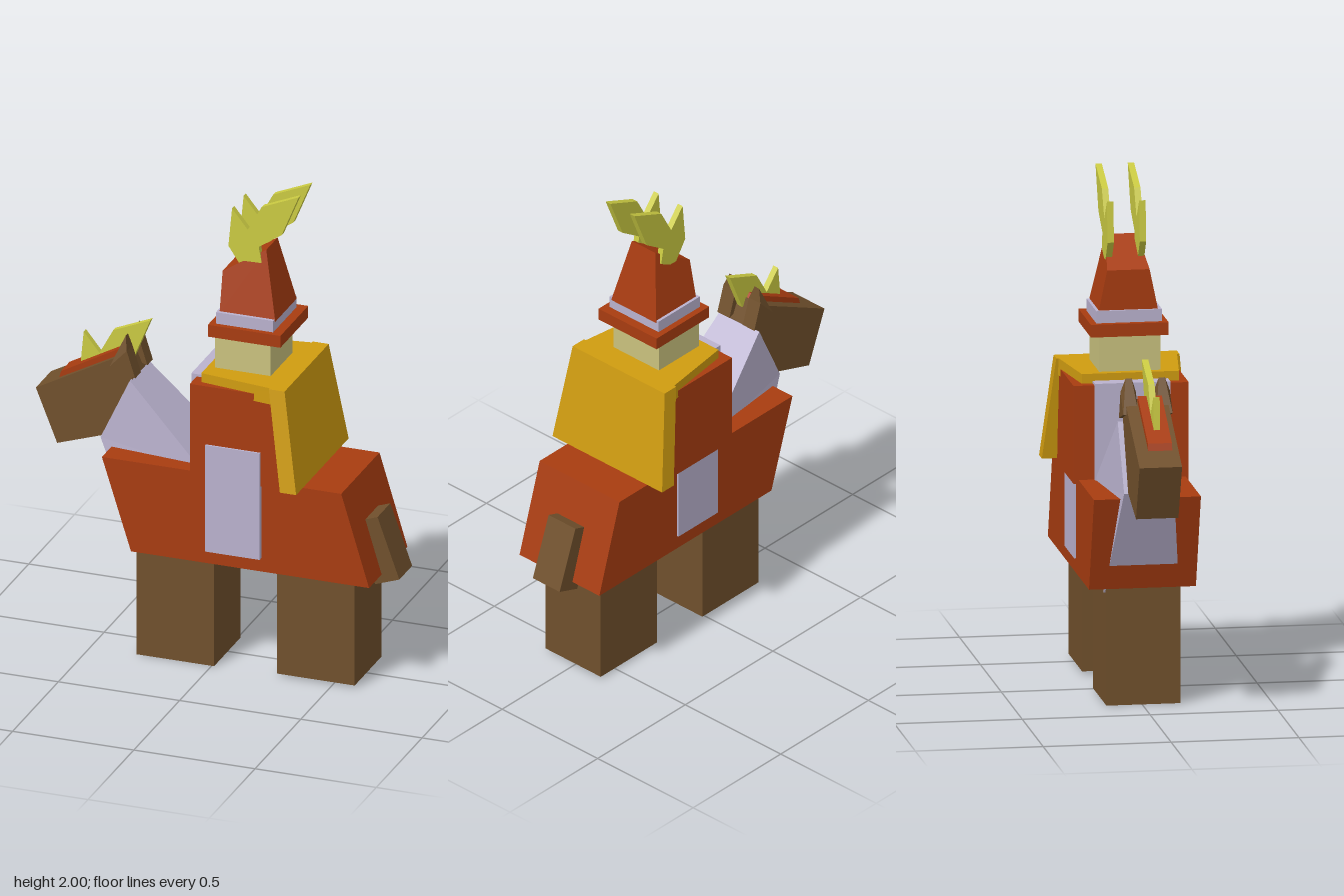
import * as THREE from 'three';

const mat = (name, color, side = THREE.FrontSide) => {
  const m = new THREE.MeshStandardMaterial({ color, side });
  m.name = name;
  return m;
};

// Flat-sided block: points [x, y, zBack, zFront] run counter-clockwise seen from +z.
// The side face starting at point "openEdge" is left out.
function block(points, openEdge = -1) {
  const front = points.map(([x, y, , z]) => [x, y, z]);
  const back = points.map(([x, y, z]) => [x, y, z]);
  const out = [];
  const n = points.length;
  for (let i = 1; i < n - 1; i++) {
    out.push(...front[0], ...front[i], ...front[i + 1]);
    out.push(...back[0], ...back[i + 1], ...back[i]);
  }
  for (let i = 0; i < n; i++) {
    if (i === openEdge) continue;
    const j = (i + 1) % n;
    out.push(...front[i], ...back[i], ...back[j]);
    out.push(...front[i], ...back[j], ...front[j]);
  }
  const g = new THREE.BufferGeometry();
  g.setAttribute('position', new THREE.Float32BufferAttribute(out, 3));
  g.computeVertexNormals();
  return g;
}

// Block with the same depth all along its outline
const slab = (pts, z0, z1, openEdge) => block(pts.map(([x, y]) => [x, y, z0, z1]), openEdge);
// Block with its own half depth at each point
const taper = (pts) => block(pts.map(([x, y, h]) => [x, y, -h, h]));
// Upright box from its limits
const box = (x0, x1, y0, y1, z0, z1, openEdge) =>
  slab([[x0, y0], [x1, y0], [x1, y1], [x0, y1]], z0, z1, openEdge);

function plume() {
  const pts = [[0.10, 1.66], [0.14, 1.68], [0.177, 1.70], [0.165, 1.765], [0.26, 1.83],
    [0.33, 2.0], [0.177, 1.935], [0.12, 1.83], [0.055, 1.91], [0.04, 1.75]];
  const shape = new THREE.Shape(pts.map(([x, y]) => new THREE.Vector2(x, y)));
  return new THREE.ExtrudeGeometry(shape, { depth: 0.025, bevelEnabled: false });
}

export function createModel() {
  const red = mat('rust red', 0xa83c10);
  const brown = mat('brown', 0x70502c);
  const legBrown = brown;
  legBrown.side = THREE.DoubleSide;
  const gold = mat('gold', 0xd09c10);
  const lavender = mat('lavender', 0xbab2ce);
  const tan = mat('tan skin', 0xcac27e);
  const green = mat('yellow green', 0xcaca42);

  const model = new THREE.Group();
  model.name = 'mountedRider';
  const horse = new THREE.Group();
  horse.name = 'horse';
  const rider = new THREE.Group();
  rider.name = 'rider';
  model.add(horse, rider);
  const add = (group, name, geometry, material) => {
    const mesh = new THREE.Mesh(geometry, material);
    mesh.name = name;
    group.add(mesh);
    return mesh;
  };

  // Horse: hollow legs, open underneath
  add(horse, 'frontLeg', box(-0.31, 0.01, 0, 0.47, -0.14, 0.15, 0), legBrown);
  add(horse, 'hindLeg', box(0.27, 0.59, 0.01, 0.47, -0.14, 0.15, 0), legBrown);

  // Horse: draped body and tail
  add(horse, 'body', slab([[-0.31, 0.46], [0.672, 0.46], [0.557, 0.84], [-0.43, 0.84]], -0.208, 0.21), red);
  add(horse, 'tail', slab([[0.645, 0.415], [0.745, 0.45], [0.655, 0.7], [0.555, 0.665]], -0.067, 0.073), brown);

  // Horse: neck and head
  add(horse, 'neck', taper([[-0.478, 0.87, 0.098], [-0.29, 0.442, 0.147], [-0.04, 0.815, 0.147], [-0.355, 1.13, 0.103]]), lavender);
  add(horse, 'head', slab([[-0.75, 1.03], [-0.662, 0.81], [-0.475, 0.873], [-0.35, 1.13], [-0.39, 1.225]], -0.082, 0.084), brown);
  add(horse, 'browPlate', slab([[-0.665, 1.07], [-0.39, 1.215], [-0.41, 1.24], [-0.655, 1.105]], -0.034, 0.06), red);

  // Horse: pointed ears
  for (const s of [-1, 1]) {
    const lo = s < 0 ? -0.095 : 0.035;
    const hi = s < 0 ? -0.035 : 0.098;
    const mid = s * 0.065;
    add(horse, s > 0 ? 'frontEar' : 'backEar', block([
      [-0.44, 1.175, lo, hi], [-0.335, 1.14, lo, hi],
      [-0.37, 1.25, lo, hi], [-0.382, 1.305, mid - 0.012, mid + 0.012],
    ]), brown);
  }

  // Plumes: one on the horse's head, two on the hat
  add(horse, 'headPlume', plume(), green).position.set(-0.63, -0.64, 0);
  add(rider, 'hatPlumeFront', plume(), green).position.z = 0.048;
  add(rider, 'hatPlumeBack', plume(), green).position.z = -0.078;

  // Rider: torso, chest panel and leg panels
  add(rider, 'torso', slab([[-0.063, 0.825], [0.33, 0.825], [0.285, 1.212], [-0.063, 1.212]], -0.228, 0.222), red);
  add(rider, 'chestPanel', box(-0.085, -0.02, 0.83, 1.222, -0.147, 0.147), lavender);
  add(rider, 'legPanels', box(0.003, 0.228, 0.517, 0.967, -0.215, 0.23), lavender);

  // Rider: collar and cape
  add(rider, 'collar', taper([[-0.027, 1.182, 0.19], [0.3, 1.182, 0.236], [0.333, 1.25, 0.24], [-0.027, 1.25, 0.19]]), gold);
  add(rider, 'cape', taper([[0.333, 0.842, 0.287], [0.4, 0.842, 0.287], [0.335, 1.25, 0.241], [0.27, 1.25, 0.241]]), gold);

  // Rider: head and hat
  add(rider, 'face', box(0.003, 0.233, 1.25, 1.392, -0.117, 0.122), tan);
  add(rider, 'hatBrim', box(-0.015, 0.284, 1.39, 1.44, -0.152, 0.152), red);
  add(rider, 'hatBand', box(0.01, 0.246, 1.44, 1.488, -0.127, 0.13), lavender);
  add(rider, 'hatCrown', taper([[0.02, 1.48, 0.117], [0.25, 1.48, 0.117], [0.192, 1.752, 0.062], [0.02, 1.645, 0.083]]), red);

  return model;
}
